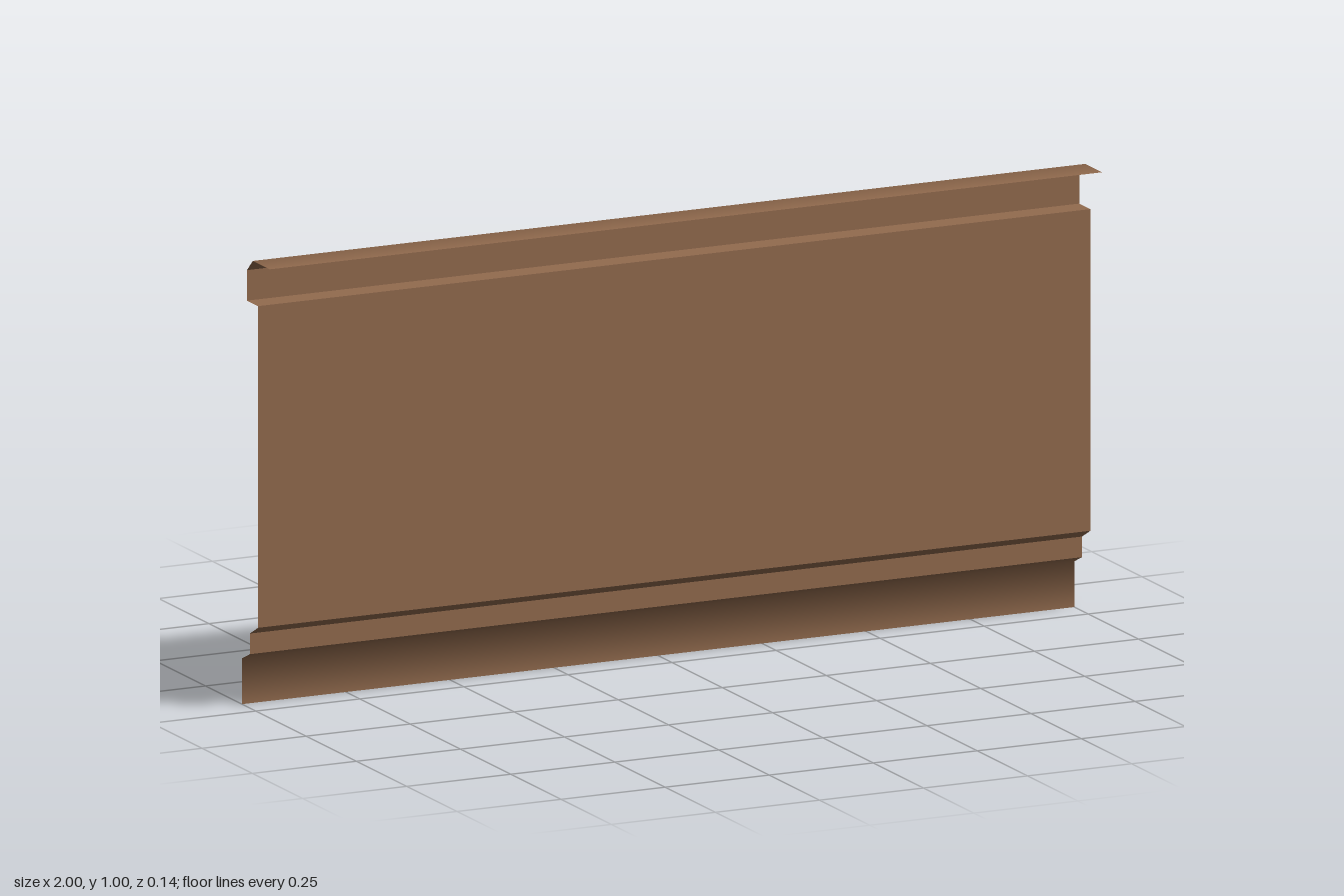
import * as THREE from 'three';

const LENGTH = 2;

// Sweeps a [z, y] profile along x; shading is smooth inside one profile.
function strip(name, profile, material) {
  const segs = profile.slice(1).map(([z, y], i) =>
    new THREE.Vector2(y - profile[i][1], profile[i][0] - z).normalize()); // (nz, ny)
  const positions = [], normals = [], index = [];
  profile.forEach(([z, y], i) => {
    const n = new THREE.Vector2();
    if (i > 0) n.add(segs[i - 1]);
    if (i < segs.length) n.add(segs[i]);
    n.normalize();
    for (const x of [-LENGTH / 2, LENGTH / 2]) {
      positions.push(x, y, z);
      normals.push(0, n.y, n.x);
    }
    if (i > 0) {
      const a = (i - 1) * 2;
      index.push(a, a + 1, a + 3, a, a + 3, a + 2);
    }
  });
  const geometry = new THREE.BufferGeometry();
  geometry.setAttribute('position', new THREE.Float32BufferAttribute(positions, 3));
  geometry.setAttribute('normal', new THREE.Float32BufferAttribute(normals, 3));
  geometry.setIndex(index);
  const mesh = new THREE.Mesh(geometry, material);
  mesh.name = name;
  return mesh;
}

export function createModel() {
  const group = new THREE.Group();
  group.name = 'sidingPanel';
  const brown = new THREE.MeshStandardMaterial({ color: 0x926b4e, side: THREE.DoubleSide });
  brown.name = 'brown sheet';

  // Folded sheet, listed from the bottom edge to the top lip
  const parts = {
    bottomFlange: [[-0.069, 0], [-0.069, 0.102], [-0.03, 0.12]],
    lowerStep: [[-0.03, 0.12], [-0.03, 0.166]],
    lowerBevel: [[-0.03, 0.166], [0.011, 0.188]],
    mainFace: [[0.011, 0.188], [0.011, 0.905]],
    upperShelf: [[0.011, 0.905], [-0.044, 0.905]],
    upperWeb: [[-0.044, 0.905], [-0.044, 0.973]],
    topLip: [[-0.044, 0.973], [-0.015, 1], [0.069, 1]],
  };
  for (const [name, profile] of Object.entries(parts)) group.add(strip(name, profile, brown));
  return group;
}
